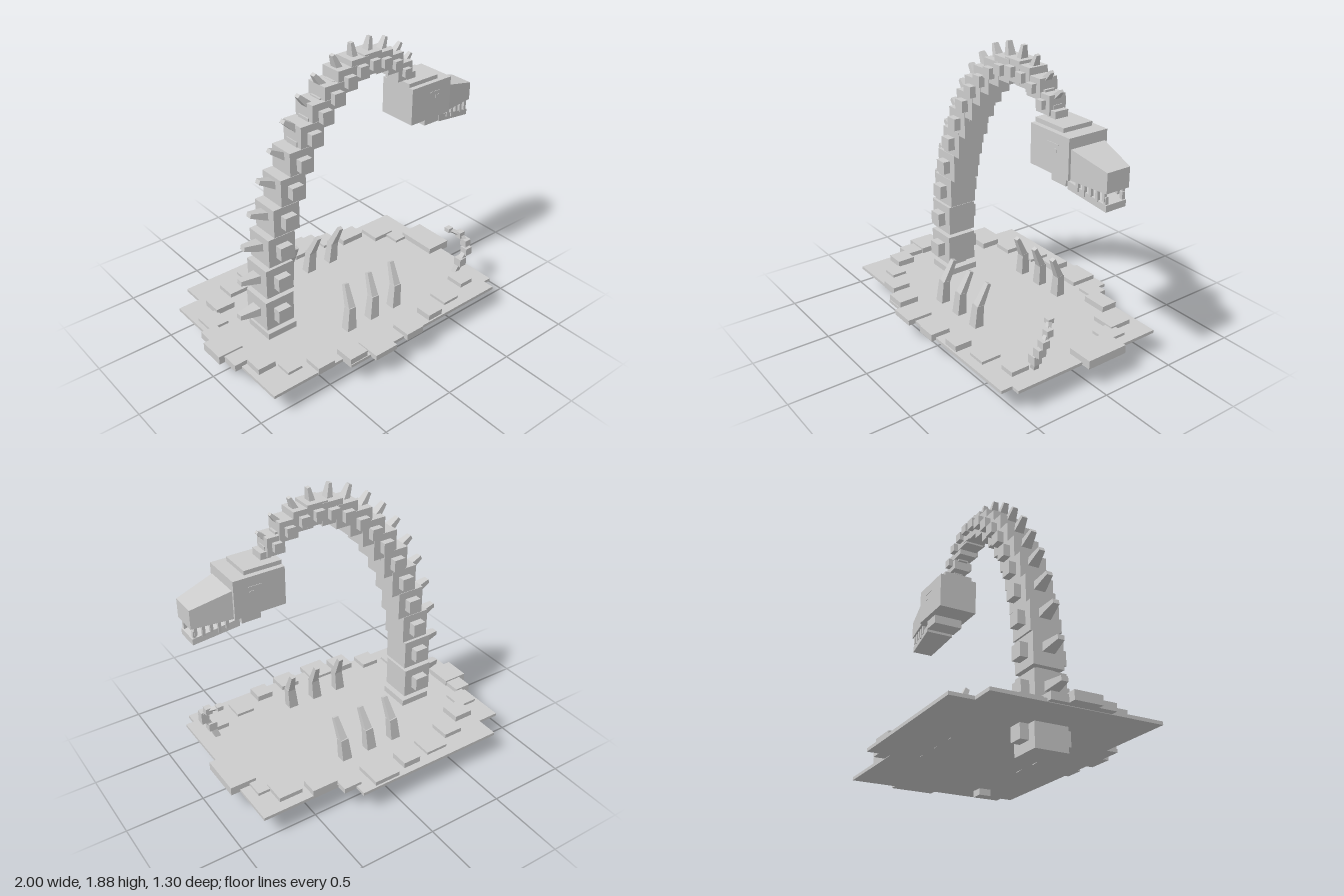
import * as THREE from 'three';

export function createModel() {
  const model = new THREE.Group();
  const grey = new THREE.MeshStandardMaterial({ color: 0xcccccc });
  grey.name = 'stoneGrey';

  function add(geometry, name, parent = model) {
    const mesh = new THREE.Mesh(geometry, grey);
    mesh.name = name;
    parent.add(mesh);
    return mesh;
  }
  function group(name) {
    const g = new THREE.Group();
    g.name = name;
    model.add(g);
    return g;
  }
  // Box given by its extents
  function span(x0, x1, y0, y1, z0, z1, name, parent) {
    const m = add(new THREE.BoxGeometry(x1 - x0, y1 - y0, z1 - z0), name, parent);
    m.position.set((x0 + x1) / 2, (y0 + y1) / 2, (z0 + z1) / 2);
    return m;
  }
  function cube(x, y, z, w, h, d, name, parent) {
    const m = add(new THREE.BoxGeometry(w, h, d), name, parent);
    m.position.set(x, y, z);
    return m;
  }
  // Four-sided tapered bar from p to q; w by d at the start, scaled by taper at the end
  function bar(p, q, w, d, taper, name, parent) {
    const a = new THREE.Vector3(...p), b = new THREE.Vector3(...q);
    const dir = b.clone().sub(a), r = Math.SQRT1_2;
    let geo = new THREE.CylinderGeometry(r * taper, r, dir.length(), 4);
    geo.rotateY(Math.PI / 4);
    geo.scale(w, 1, d);
    geo = geo.toNonIndexed();
    geo.computeVertexNormals();
    const m = add(geo, name, parent);
    m.position.copy(a).add(b).multiplyScalar(0.5);
    m.quaternion.setFromUnitVectors(new THREE.Vector3(0, 1, 0), dir.normalize());
    return m;
  }

  // Ground slab with a stepped outline
  const outline = [[-0.77, -0.655], [0.255, -0.655], [0.255, -0.51], [0.85, -0.51], [0.85, 0.52],
    [0.795, 0.52], [0.795, 0.595], [-0.415, 0.595], [-0.415, 0.52], [-0.915, 0.52], [-0.915, -0.51], [-0.77, -0.51]];
  const slab = new THREE.ExtrudeGeometry(new THREE.Shape(outline.map(([x, z]) => new THREE.Vector2(x, -z))),
    { depth: 0.02, bevelEnabled: false });
  slab.rotateX(-Math.PI / 2);
  add(slab, 'groundSlab').position.y = 0.147;

  // Rim stones: centre x, centre z, width, depth
  const rim = group('rimStones');
  [[-0.915, 0, 0.165, 0.17], [-0.895, -0.135, 0.11, 0.11], [-0.82, -0.26, 0.13, 0.14], [-0.7, -0.365, 0.13, 0.13],
    [-0.535, -0.46, 0.13, 0.13], [-0.35, -0.52, 0.15, 0.14], [-0.14, -0.55, 0.12, 0.12], [0.07, -0.555, 0.175, 0.175],
    [0.28, -0.52, 0.12, 0.12], [0.43, -0.455, 0.17, 0.11], [0.63, -0.37, 0.155, 0.15], [0.72, -0.26, 0.13, 0.14],
    [0.825, -0.08, 0.17, 0.28], [0.675, 0.41, 0.1, 0.12], [0.47, 0.47, 0.12, 0.13], [0.28, 0.53, 0.11, 0.11],
    [0.07, 0.56, 0.13, 0.13], [-0.18, 0.56, 0.165, 0.165], [-0.35, 0.525, 0.13, 0.13], [-0.54, 0.465, 0.12, 0.12],
    [-0.7, 0.38, 0.1, 0.1], [-0.82, 0.26, 0.12, 0.12], [-0.9, 0.14, 0.12, 0.11]
  ].forEach(([x, z, w, d], i) => {
    const top = 0.185 + 0.01 * ((i * 2 + 2) % 3);
    span(x - w / 2, x + w / 2, 0.15, top, z - d / 2, z + d / 2, 'rimStone', rim);
  });

  // Arched neck: shrinking cubes with side knobs, joints and back spikes
  const neck = group('neck');
  const path = [[-0.55, 0.105], [-0.56, 0.34], [-0.55, 0.565], [-0.525, 0.77], [-0.482, 0.955], [-0.425, 1.13],
    [-0.358, 1.28], [-0.278, 1.417], [-0.195, 1.527], [-0.107, 1.613], [-0.01, 1.683], [0.085, 1.722],
    [0.18, 1.735], [0.272, 1.72], [0.363, 1.682], [0.445, 1.61], [0.505, 1.545]];
  for (let i = 0; i < 16; i++) {
    const [x, y] = path[i], [nx, ny] = path[i + 1];
    const s = 0.207 - 0.0063 * i;
    cube(x, y, 0, s, s, s, 'neckSegment', neck);
    const k = s * 0.45;
    cube(x, y, 0, k, k, s * 1.52, 'sideKnobs', neck);
    cube((x + nx) / 2, (y + ny) / 2, 0, s * 0.56, s * 0.56, s * 0.56, 'neckJoint', neck);
    const angle = i === 0 ? 0 : Math.atan2(ny - y, nx - x) + Math.PI / 2;
    const c = Math.cos(angle), n = Math.sin(angle), len = 0.24 - 0.008 * i;
    bar([x + c * s * 0.4, y + n * s * 0.4, 0], [x + c * len, y + n * len, 0], s * 0.3, s * 0.43, 0.5, 'backSpike', neck);
  }
  cube(0.507, 1.55, 0, 0.065, 0.07, 0.09, 'headJoint', neck);

  // Head
  const head = group('head');
  span(0.44, 0.76, 1.28, 1.517, -0.132, 0.132, 'skull', head);
  span(0.44, 0.675, 1.517, 1.543, -0.1, 0.1, 'crownPlate', head);
  span(0.585, 0.705, 1.222, 1.28, -0.1, 0.1, 'jawHinge', head);
  // Wedge along x: each end is [x, bottom, top, half width]
  function wedge(a, b, name) {
    const geo = new THREE.BoxGeometry(1, 1, 1).toNonIndexed(), p = geo.attributes.position;
    for (let i = 0; i < p.count; i++) {
      const e = p.getX(i) < 0 ? a : b;
      p.setXYZ(i, e[0], p.getY(i) < 0 ? e[1] : e[2], Math.sign(p.getZ(i)) * e[3]);
    }
    geo.computeVertexNormals();
    add(geo, name, head);
  }
  wedge([0.76, 1.28, 1.455, 0.117], [1, 1.275, 1.392, 0.078], 'snout');
  wedge([0.715, 1.21, 1.258, 0.095], [0.992, 1.167, 1.205, 0.07], 'lowerJaw');
  for (const side of [-1, 1]) {
    for (let i = 0; i < 5; i++) {
      const x = 0.79 + i * 0.045, z = side * (0.088 - i * 0.006), low = 1.222 - (i % 2) * 0.014;
      span(x - 0.009, x + 0.009, low, 1.285, z - 0.009, z + 0.009, 'upperTooth', head);
    }
    span(0.965, 0.985, 1.18, 1.25, side * 0.058 - 0.01, side * 0.058 + 0.01, 'lowerTooth', head);
    cube(0.65, 1.42, side * 0.133, 0.03, 0.02, 0.004, 'eye', head);
    cube(0.63, 1.455, side * 0.133, 0.09, 0.006, 0.004, 'brow', head);
  }

  // Two rows of claws bending inward
  const claws = group('claws');
  for (const side of [-1, 1]) for (const x of [-0.185, 0, 0.185]) {
    const knee = [x - 0.005, 0.32, side * 0.315];
    bar([x - 0.022, 0.145, side * 0.322], knee, 0.068, 0.062, 0.78, 'clawBase', claws);
    bar([x - 0.006, 0.3, side * 0.318], [x + 0.008, 0.45, side * 0.25], 0.052, 0.045, 0.6, 'clawTip', claws);
  }

  // Small curled tail of blocks
  const tail = group('tail');
  span(0.63, 0.71, 0.105, 0.15, 0.27, 0.35, 'tailRoot', tail);
  const links = [[0.725, 0.15, 0.31], [0.755, 0.25, 0.33], [0.8, 0.32, 0.335], [0.81, 0.37, 0.315],
    [0.795, 0.42, 0.275], [0.74, 0.453, 0.222]];
  links.forEach((p, i) => {
    const s = 0.06 - i * 0.004;
    if (i) {
      bar(links[i - 1], p, s * 0.65, s * 0.65, 0.9, 'tailLink', tail);
      cube(...p, s, i === 5 ? 0.028 : s, s, 'tailBlock', tail);
    }
  });

  return model;
}
